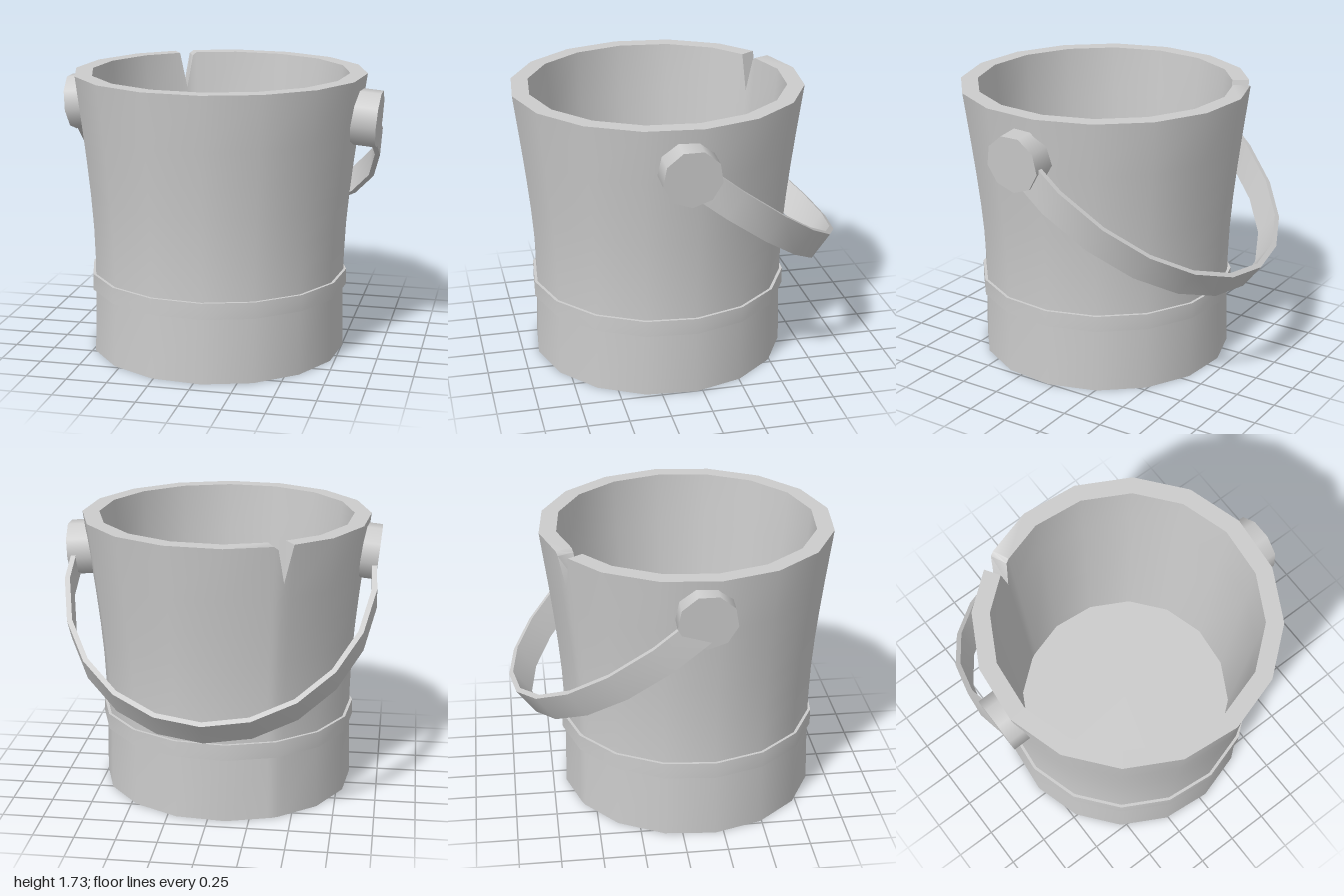
import * as THREE from 'three';
import { toCreasedNormals } from 'three/addons/utils/BufferGeometryUtils.js';

const SIDES = 16, STEP = (Math.PI * 2) / SIDES, PHASE = THREE.MathUtils.degToRad(-5.7);
const RIM = 1.73, FLOOR = 0.33;
const material = new THREE.MeshStandardMaterial({ color: 0xcccccc, side: THREE.DoubleSide });

// Point on the sixteen-sided bucket, which leans very slightly
function bucketPoint(angle, r, y) {
  const off = (((angle - PHASE) % STEP) + STEP) % STEP;
  const k = Math.cos(STEP / 2) / Math.cos(off - STEP / 2);
  return [-0.032 + 0.008 * y + Math.cos(angle) * r * k, y, 0.118 - 0.003 * y + Math.sin(angle) * r * k];
}

// Surface through closed rings: columns[i] is a list of points running bottom to top
function skin(columns) {
  const n = columns.length, m = columns[0].length, index = [];
  for (let i = 0; i < n; i++) {
    for (let j = 0; j < m - 1; j++) {
      const a = i * m + j, b = ((i + 1) % n) * m + j;
      index.push(a, a + 1, b, b, a + 1, b + 1);
    }
  }
  const g = new THREE.BufferGeometry();
  g.setAttribute('position', new THREE.Float32BufferAttribute(columns.flat(2), 3));
  g.setIndex(index);
  return toCreasedNormals(g, 0.7);
}

function add(group, geometry, name) {
  const mesh = new THREE.Mesh(geometry, material);
  mesh.name = name;
  group.add(mesh);
  return mesh;
}

export function createModel() {
  const group = new THREE.Group();
  group.name = 'bucket';
  const regular = Array.from({ length: SIDES }, (_, i) => PHASE + i * STEP);

  // Wall: flared outside, rim and straight inside, with a V-shaped chip in the rim
  const outer = [[0.79, 0], [0.781, 0.4], [0.783, 0.6], [0.791, 0.8], [0.807, 1], [0.828, 1.2], [0.852, 1.4]];
  const cols = regular.map((angle) => ({ angle, top: RIM }));
  const chip = [[-123, RIM], [-119.5, 1.5], [-116.5, 1.71], [-114.8, RIM]]
    .map(([deg, top]) => ({ angle: THREE.MathUtils.degToRad(deg + 360), top }));
  cols.splice(11, 1, ...chip);
  const wall = cols.map(({ angle, top }) => {
    const t = (top - 1.4) / (RIM - 1.4);
    const profile = [...outer, [0.852 + 0.043 * t, top], [0.764 + 0.026 * t, top], [0.764, 1.4], [0.68, FLOOR]];
    return profile.map(([r, y]) => bucketPoint(angle, r, y));
  });
  add(group, skin(wall), 'wall');

  // Raised floor inside the wall
  const floor = regular.map((a) => [bucketPoint(a, 0.68, FLOOR), bucketPoint(a, 0, FLOOR)]);
  add(group, skin(floor), 'floor');

  // Hoop around the lower part
  const hoop = [[0.775, 0.4], [0.8, 0.4], [0.8, 0.5], [0.775, 0.5]];
  add(group, skin(regular.map((a) => hoop.map(([r, y]) => bucketPoint(a, r, y)))), 'hoop');

  // Knobs that carry the handle
  const knobGeometry = new THREE.CylinderGeometry(0.175, 0.175, 0.16, 9, 1, false, Math.PI / 2);
  knobGeometry.rotateZ(-Math.PI / 2);
  const leftKnob = add(group, knobGeometry, 'leftKnob');
  leftKnob.position.set(0.882, 1.477, 0.115);
  leftKnob.rotation.z = -0.085;
  const rightKnob = add(group, knobGeometry, 'rightKnob');
  rightKnob.position.set(-0.885, 1.512, 0.115);
  rightKnob.rotation.z = 0.1;

  // Handle: flat bow hanging down at the back
  const arc = (inset) => Array.from({ length: 13 }, (_, i) => {
    const a = THREE.MathUtils.degToRad((i - 6) * 17);
    return new THREE.Vector2((0.96 - inset) * Math.sin(a), 0.22 + (1.11 - inset) * Math.cos(a));
  });
  const bow = new THREE.Shape([...arc(0), ...arc(0.032).reverse()]);
  const width = 0.185;
  const handleGeometry = new THREE.ExtrudeGeometry(bow, { depth: width, bevelEnabled: false });
  handleGeometry.translate(0, 0, -width / 2);
  const handle = add(group, toCreasedNormals(handleGeometry, 0.7), 'handle');
  handle.rotation.x = -2.223;
  handle.position.set(-0.01, 1.475, 0.115);

  return group;
}
